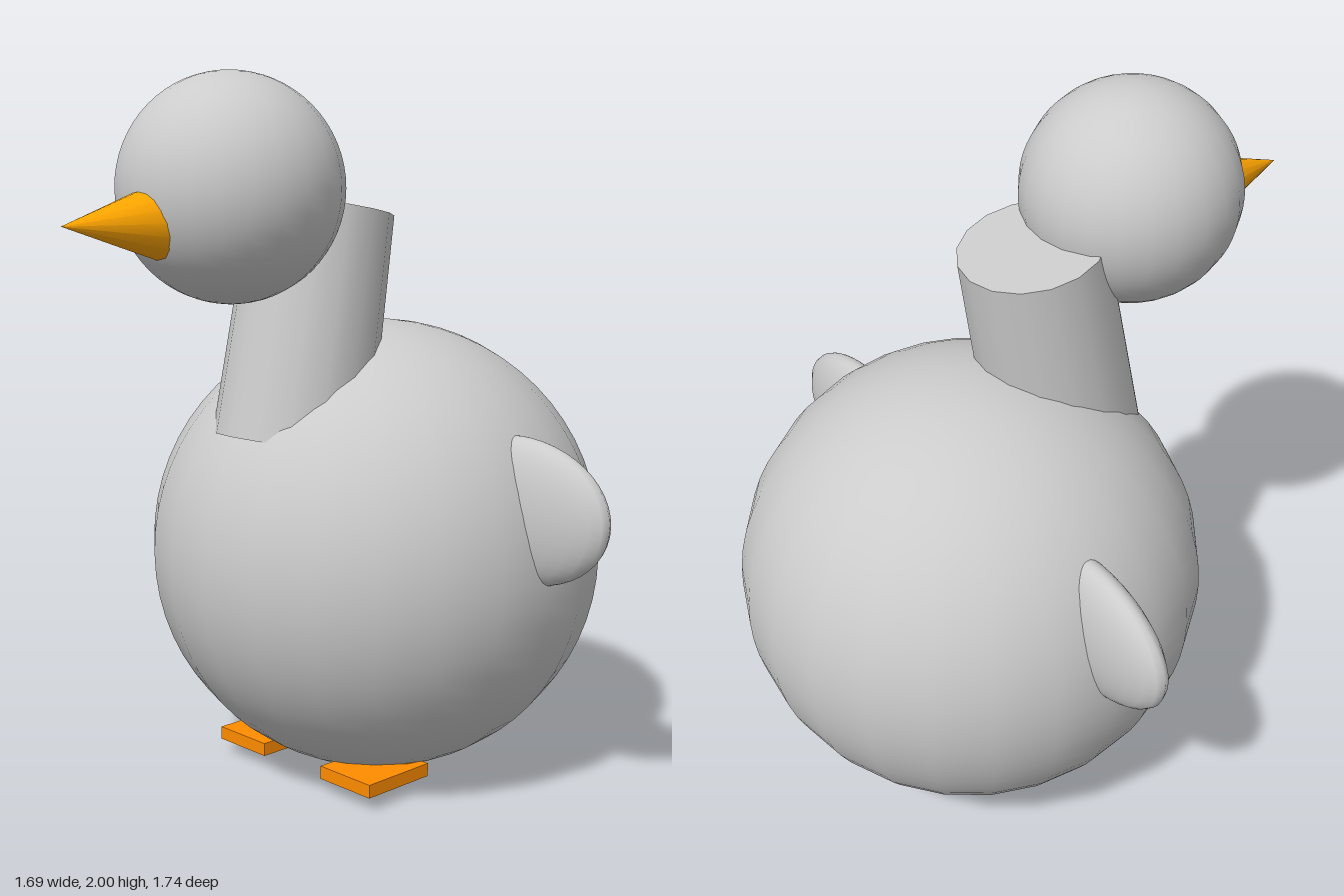
import * as THREE from 'three';

export function createModel() {
  const model = new THREE.Group();
  const grey = new THREE.MeshStandardMaterial({ color: 0xcccccc });
  const beakOrange = new THREE.MeshStandardMaterial({ color: 0xffa500 });
  const footOrange = new THREE.MeshStandardMaterial({ color: 0xff8c00 });

  function add(name, geometry, material, x, y, z) {
    const mesh = new THREE.Mesh(geometry, material);
    mesh.name = name;
    mesh.position.set(x, y, z);
    model.add(mesh);
    return mesh;
  }

  // Round body and head
  add('body', new THREE.SphereGeometry(0.655, 24, 32), grey, 0, 0.655, -0.215);
  add('head', new THREE.SphereGeometry(0.303, 24, 32), grey, 0, 1.697, 0.332);

  // Neck leaning back, slightly wider at its base
  const neck = add('neck', new THREE.CylinderGeometry(0.2, 0.22, 0.656, 16), grey, 0, 1.318, 0.06);
  neck.rotation.x = -0.182;

  // Pointed beak, its base sunk into the head
  const beak = add('beak', new THREE.ConeGeometry(0.1, 0.3, 16), beakOrange, 0, 1.617, 0.717);
  beak.rotation.x = Math.PI / 2;

  // Mirrored wings, legs and feet
  for (const [side, s] of [['left', 1], ['right', -1]]) {
    const wing = add(side + 'Wing', new THREE.SphereGeometry(1, 24, 24), grey, s * 0.545, 0.838, -0.215);
    wing.scale.set(0.3, 0.203, 0.075);
    add(side + 'Leg', new THREE.CylinderGeometry(0.07, 0.07, 0.1, 12), footOrange, s * 0.217, 0.108, -0.1);
    add(side + 'Foot', new THREE.BoxGeometry(0.195, 0.038, 0.235), footOrange, s * 0.217, 0.06, 0.004);
  }
  return model;
}
